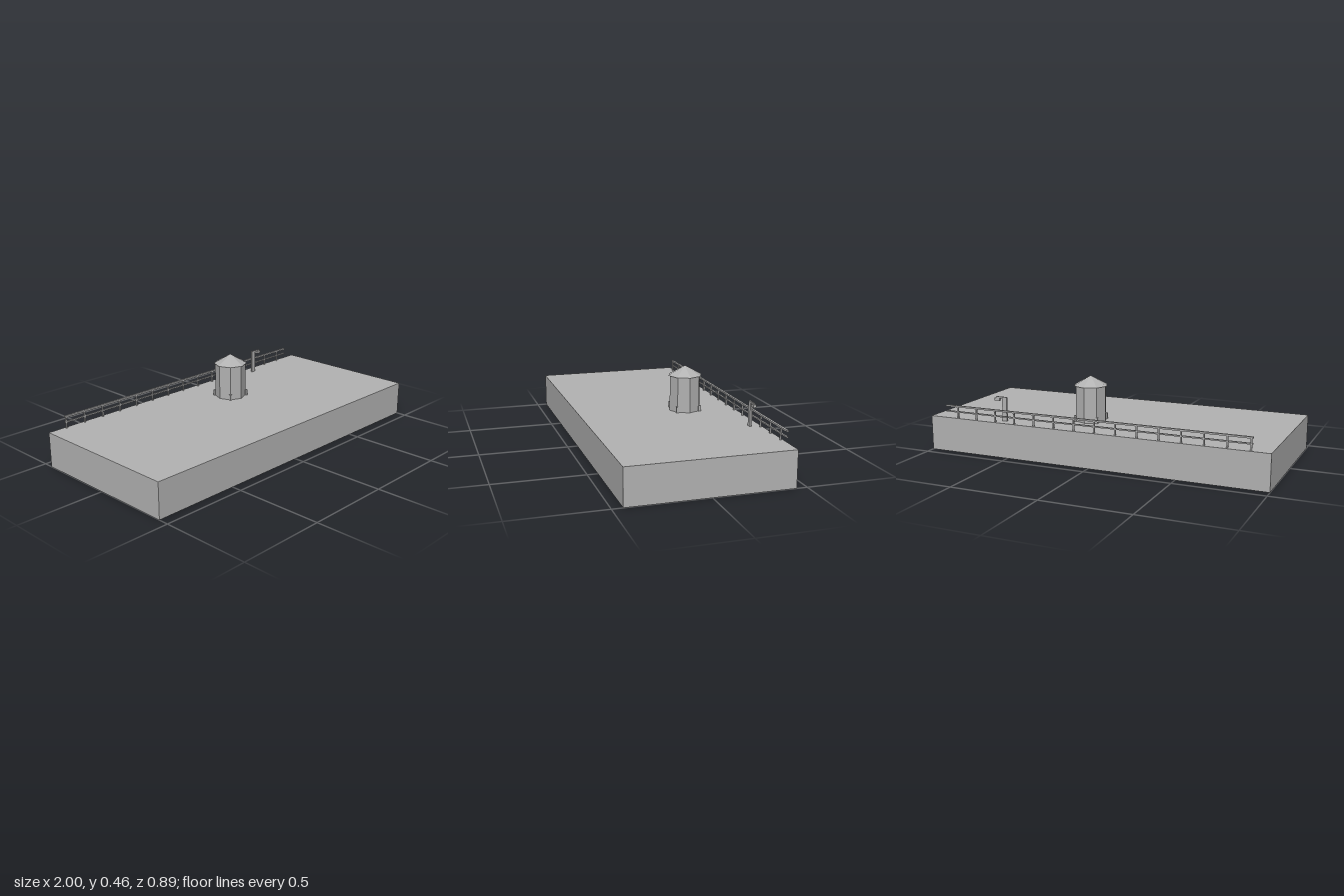
import * as THREE from 'three';

const concrete = new THREE.MeshStandardMaterial({ color: 0xb2b2b2, flatShading: true });
concrete.name = 'concrete grey';
const shell = new THREE.MeshStandardMaterial({ color: 0xb2b2b2, flatShading: true, side: THREE.DoubleSide });
shell.name = 'shell grey';

function addMesh(parent, name, geometry, x, y, z, material = concrete) {
  const mesh = new THREE.Mesh(geometry, material);
  mesh.name = name;
  mesh.position.set(x, y, z);
  parent.add(mesh);
  return mesh;
}

// Box given by its lower and upper corners
function addBox(parent, name, [x0, y0, z0], [x1, y1, z1]) {
  return addMesh(parent, name, new THREE.BoxGeometry(x1 - x0, y1 - y0, z1 - z0),
    (x0 + x1) / 2, (y0 + y1) / 2, (z0 + z1) / 2);
}

function addGroup(parent, name) {
  const group = new THREE.Group();
  group.name = name;
  parent.add(group);
  return group;
}

export function createModel() {
  const model = new THREE.Group();
  model.name = 'harbourPier';
  const deckY = 0.2;

  // Pier: a thin box with no bottom, so the underside is hollow
  const pier = new THREE.BoxGeometry(2, deckY, 0.886);
  const index = Array.from(pier.index.array);
  index.splice(18, 6); // fourth side of the box is the bottom
  pier.setIndex(index);
  pier.clearGroups();
  addMesh(model, 'pier', pier, 0, deckY / 2, 0, shell);

  // Octagonal tower with a pointed roof and four small corner feet
  const tower = addGroup(model, 'tower');
  tower.position.set(0.108, deckY, -0.166);
  addMesh(tower, 'towerWall', new THREE.CylinderGeometry(0.09, 0.09, 0.202, 8), 0, 0.101, 0);
  addMesh(tower, 'towerRoof', new THREE.ConeGeometry(0.098, 0.055, 8), 0, 0.2295, 0);
  for (const sx of [-1, 1]) {
    for (const sz of [-1, 1]) {
      addMesh(tower, 'towerFoot', new THREE.BoxGeometry(0.013, 0.034, 0.013), sx * 0.066, 0.017, sz * 0.066);
    }
  }

  // Lamp post with an arm and a lamp head
  const lamp = addGroup(model, 'lampPost');
  addBox(lamp, 'post', [0.528, deckY, -0.389], [0.556, 0.334, -0.378]);
  addBox(lamp, 'arm', [0.528, 0.329, -0.388], [0.595, 0.338, -0.379]);
  addBox(lamp, 'lampHead', [0.57, 0.315, -0.392], [0.602, 0.33, -0.375]);

  // Railing along the back edge
  const railing = addGroup(model, 'railing');
  addBox(railing, 'topRail', [-0.903, 0.263, -0.436], [0.902, 0.272, -0.423]);
  addBox(railing, 'middleRail', [-0.903, 0.232, -0.4345], [0.902, 0.239, -0.4245]);
  for (let i = 0; i < 15; i++) {
    const x = -0.894 + i * 0.1228;
    addBox(railing, 'railingPost', [x - 0.004, deckY, -0.4335], [x + 0.004, 0.266, -0.4255]);
  }
  return model;
}
